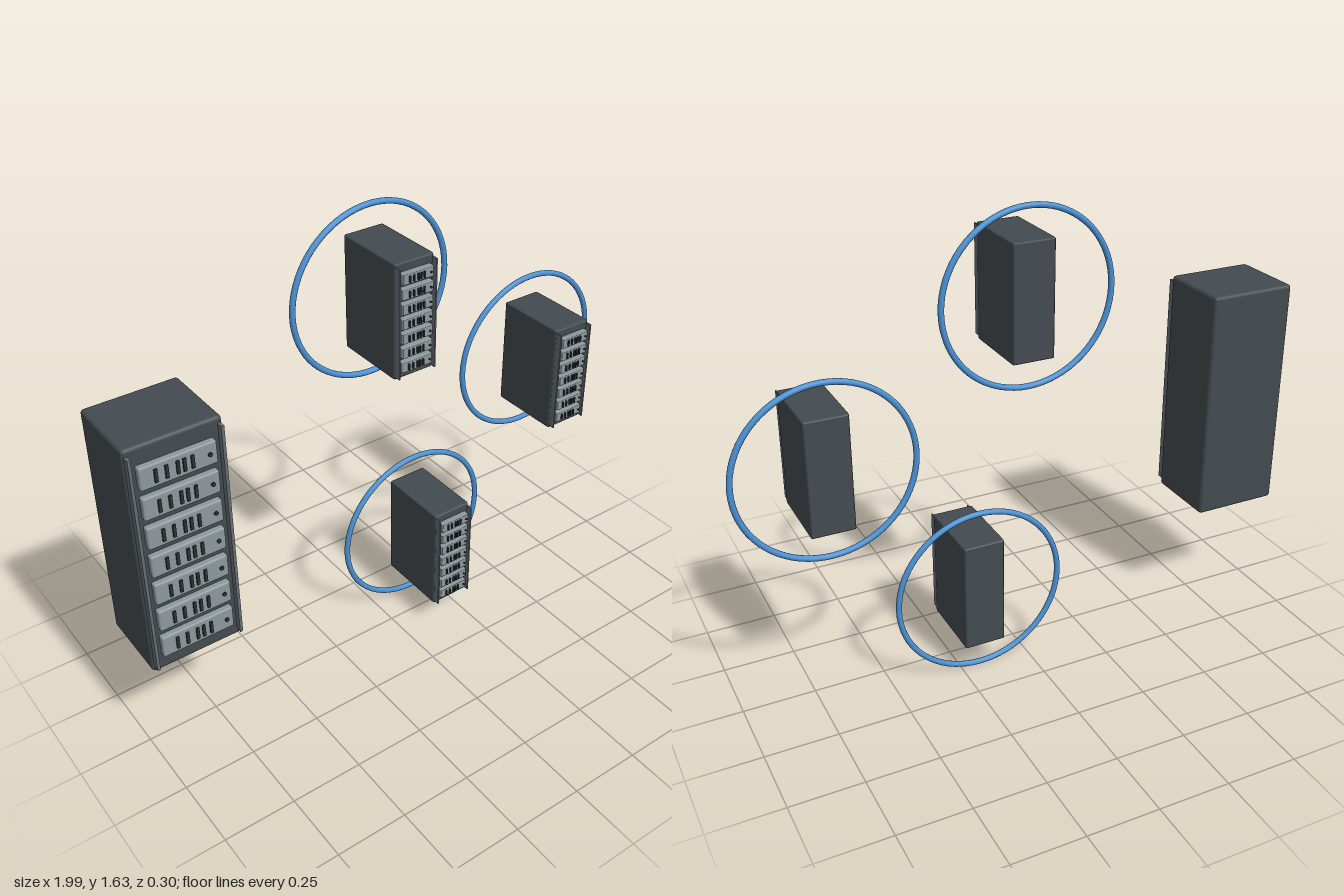
import * as THREE from 'three';
import { RoundedBoxGeometry } from 'three/addons/geometries/RoundedBoxGeometry.js';

const mat = (color) => new THREE.MeshStandardMaterial({ color });
const caseMat = mat(0x434b50);
const railMat = mat(0x656f74);
const plateMat = mat(0x8d999d);
const slotMat = mat(0x2b3135);
const ringMat = mat(0x4a90d2);

function add(parent, name, geometry, material, x, y, z) {
  const mesh = new THREE.Mesh(geometry, material);
  mesh.name = name;
  mesh.position.set(x, y, z);
  parent.add(mesh);
  return mesh;
}

// One drive unit: face plate with five ridges and a status button
function createUnit() {
  const unit = new THREE.Group();
  unit.name = 'driveUnit';
  add(unit, 'facePlate', new RoundedBoxGeometry(0.246, 0.078, 0.03, 2, 0.006), plateMat, 0, 0, 0.126);
  for (const x of [-0.074, -0.04, -0.005, 0.016, 0.042]) {
    add(unit, 'slot', new THREE.BoxGeometry(0.01, 0.044, 0.01), slotMat, x, 0, 0.142);
  }
  const button = add(unit, 'button', new THREE.CylinderGeometry(0.007, 0.007, 0.008, 12), slotMat, 0.098, 0, 0.142);
  button.rotation.x = Math.PI / 2;
  return unit;
}

// Server cabinet centred on its own x and y; scale leaves the depth unchanged
function createCabinet(name, x, y, sx, sy) {
  const cabinet = new THREE.Group();
  cabinet.name = name;
  add(cabinet, 'case', new RoundedBoxGeometry(0.314, 0.83, 0.269, 2, 0.012), caseMat, 0, 0, -0.0145);
  for (const side of [-1, 1]) {
    add(cabinet, 'rail', new THREE.BoxGeometry(0.01, 0.786, 0.03), railMat, side * 0.146, 0, 0.126);
  }
  for (let i = -3; i <= 3; i++) {
    const unit = createUnit();
    unit.position.y = i * 0.105;
    cabinet.add(unit);
  }
  cabinet.position.set(x, y, 0);
  cabinet.scale.set(sx, sy, 1);
  return cabinet;
}

export function createModel() {
  const model = new THREE.Group();
  model.name = 'serverNetwork';
  model.add(createCabinet('mainCabinet', -0.843, 0.826, 1, 1));

  // Three small cabinets, each inside a ring near its back
  for (const [x, y] of [[-0.004, 1.334], [0.686, 0.884], [0.176, 0.313]]) {
    model.add(createCabinet('smallCabinet', x, y, 0.47, 0.48));
    add(model, 'ring', new THREE.TorusGeometry(0.297, 0.01, 12, 72), ringMat, x, y, -0.107);
  }
  return model;
}
